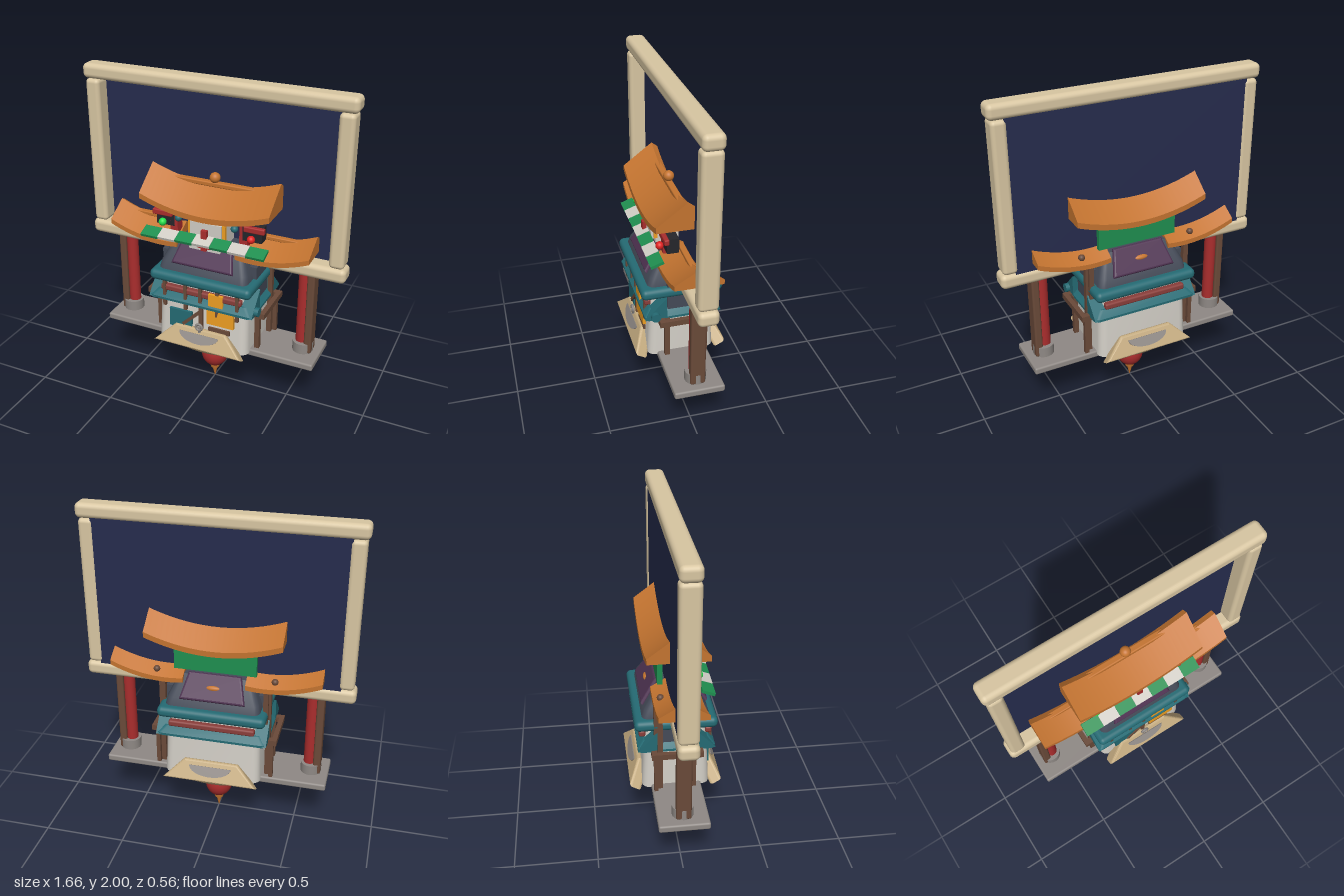
import * as THREE from 'three';
import { RoundedBoxGeometry } from 'three/addons/geometries/RoundedBoxGeometry.js';
import { toCreasedNormals } from 'three/addons/utils/BufferGeometryUtils.js';

const COLORS = {
  cream: 0xd8c6a2, navy: 0x262c4e, orange: 0xc47430, teal: 0x256b74, red: 0xaa2d2d, maroon: 0x8a3e3a,
  brown: 0x6a4a39, grey: 0x8f8985, purple: 0x4f3352, slate: 0x454b58, green: 0x1f8f50,
  white: 0xd2cec6, amber: 0xf0a024, black: 0x25262b, tan: 0xc4ab80, lime: 0x22e04a, scarlet: 0xe02020,
};
const mats = {};
const mat = (c) => (mats[c] ??= new THREE.MeshStandardMaterial({ color: COLORS[c] }));

// Closed loft through rounded rectangles; each level is [y, halfX, halfZ, cornerRadius]
function loft(levels, steps = 4) {
  const pos = [], idx = [], n = 4 * (steps + 1);
  for (const [y, hx, hz, r] of levels) {
    for (let q = 0; q < 4; q++) for (let s = 0; s <= steps; s++) {
      const a = (q + s / steps) * Math.PI / 2;
      const sx = q === 0 || q === 3 ? 1 : -1, sz = q < 2 ? 1 : -1;
      pos.push(sx * (hx - r) + r * Math.cos(a), y, sz * (hz - r) + r * Math.sin(a));
    }
  }
  for (let l = 0; l < levels.length - 1; l++) for (let i = 0; i < n; i++) {
    const a = l * n + i, b = l * n + (i + 1) % n;
    idx.push(a, a + n, b, b, a + n, b + n);
  }
  const top = (levels.length - 1) * n;
  for (let i = 1; i < n - 1; i++) idx.push(0, i, i + 1, top, top + i + 1, top + i);
  return creased(pos, idx);
}

function creased(pos, idx) {
  const g = new THREE.BufferGeometry();
  g.setAttribute('position', new THREE.Float32BufferAttribute(pos, 3));
  g.setIndex(idx);
  return toCreasedNormals(g, 0.6);
}

// Upswept solid gable roof running along x; lift(x) raises each cross-section
function sweptRoof(x0, x1, hz, eave, ridge, thick, lift, segs = 24) {
  const section = [[hz, eave], [hz, eave + thick], [0, ridge], [-hz, eave + thick], [-hz, eave]];
  const n = section.length, pos = [], idx = [];
  for (let i = 0; i <= segs; i++) {
    const x = x0 + (x1 - x0) * i / segs;
    for (const [z, y] of section) pos.push(x, y + lift(x), z);
  }
  for (let i = 0; i < segs; i++) for (let j = 0; j < n; j++) {
    const a = i * n + j, b = i * n + (j + 1) % n;
    idx.push(a, a + n, b, b, a + n, b + n);
  }
  const e = segs * n;
  for (let j = 1; j < n - 1; j++) idx.push(0, j, j + 1, e, e + j + 1, e + j);
  return creased(pos, idx);
}

function trapezoid(bottom, top, h, depth, bevel) {
  const s = new THREE.Shape([[-bottom, 0], [bottom, 0], [top, h], [-top, h]].map(([x, y]) => new THREE.Vector2(x, y)));
  return new THREE.ExtrudeGeometry(s, { depth, bevelSize: bevel, bevelThickness: bevel, bevelSegments: 3 });
}

export function createModel() {
  const model = new THREE.Group();
  const add = (name, geo, color, x = 0, y = 0, z = 0, parent = model) => {
    const m = new THREE.Mesh(geo, mat(color));
    m.name = name;
    m.position.set(x, y, z);
    parent.add(m);
    return m;
  };
  // Box given by its limits
  const box = (name, color, x0, x1, y0, y1, z0, z1, r = 0) => add(name,
    r ? new RoundedBoxGeometry(x1 - x0, y1 - y0, z1 - z0, 3, r) : new THREE.BoxGeometry(x1 - x0, y1 - y0, z1 - z0),
    color, (x0 + x1) / 2, (y0 + y1) / 2, (z0 + z1) / 2);
  const sideBox = (s, name, color, x0, x1, ...rest) =>
    s > 0 ? box(name, color, x0, x1, ...rest) : box(name, color, -x1, -x0, ...rest);
  const rod = (name, color, r, x, y0, y1, z, r2 = r) =>
    add(name, new THREE.CylinderGeometry(r2, r, y1 - y0, 20), color, x, (y0 + y1) / 2, z);
  const ball = (name, color, r, x, y, z) => add(name, new THREE.SphereGeometry(r, 24, 16), color, x, y, z);

  // Screen set toward the back of its frame
  box('screen', 'navy', -0.74, 0.74, 0.97, 1.94, -0.05, -0.036);
  box('frameTop', 'cream', -0.83, 0.83, 1.91, 2, -0.06, 0.06, 0.03);
  box('frameBottom', 'cream', -0.83, 0.83, 0.91, 1, -0.06, 0.06, 0.03);

  // Base plate, bowl and hanging finial
  box('basePlate', 'grey', -0.7, 0.7, 0.335, 0.38, -0.15, 0.15, 0.012);
  const bowl = add('bowl', new THREE.SphereGeometry(1, 40, 12, 0, Math.PI * 2, Math.PI / 2, Math.PI / 2), 'tan', 0, 0.372, 0);
  bowl.scale.set(0.37, 0.126, 0.24);
  bowl.material = mat('tan').clone();
  bowl.material.side = THREE.DoubleSide;
  ball('bulb', 'red', 0.088, 0, 0.19, 0).scale.y = 1.15;
  rod('finialCollar', 'orange', 0.028, 0, 0.07, 0.1, 0, 0.034);
  rod('finialTip', 'orange', 0.002, 0, 0, 0.075, 0, 0.02);

  // House body and its roofs
  add('houseBody', loft([[0.36, 0.3, 0.205, 0.05], [0.66, 0.29, 0.19, 0.05]]), 'white');
  add('upperBody', loft([[0.65, 0.27, 0.19, 0.03], [0.8, 0.26, 0.18, 0.03]]), 'white');
  add('lowerEaves', loft([[0.645, 0.34, 0.23, 0.03], [0.66, 0.34, 0.23, 0.03], [0.7, 0.3, 0.195, 0.03]]), 'teal');
  box('upperEaves', 'teal', -0.33, 0.33, 0.775, 0.843, -0.245, 0.245, 0.03);
  add('mainRoof', loft([[0.84, 0.29, 0.2, 0.04], [0.89, 0.28, 0.185, 0.04], [1.02, 0.22, 0.1, 0.03]]), 'slate');

  for (const f of [1, -1]) {
    const face = new THREE.Group();
    face.name = f > 0 ? 'frontFace' : 'backFace';
    face.rotation.y = f > 0 ? 0 : Math.PI;
    model.add(face);
    add('roofPanel', trapezoid(0.185, 0.15, 0.145, 0.004, 0.014), 'purple', 0, 0.9, 0.18, face).rotation.x = -0.58;
    add('railing', new RoundedBoxGeometry(0.53, 0.04, 0.04, 2, 0.012), 'maroon', 0, 0.725, 0.198, face);
    // Sloping porch hood with an arched inset
    add('porchHood', trapezoid(0.272, 0.16, 0.11, 0.045, 0.016), 'tan', 0, 0.352, 0.225, face).rotation.x = -0.5;
    const arch = new THREE.Shape();
    arch.absellipse(0, 0, 0.13, 0.062, Math.PI, Math.PI * 2);
    add('hoodInset', new THREE.ExtrudeGeometry(arch, { depth: 0.006, bevelEnabled: false, curveSegments: 24 }), 'grey', 0, 0.459, 0.237, face).rotation.x = -0.5;
  }
  ball('roofKnob', 'orange', 0.05, 0, 0.965, -0.145).scale.set(1, 0.35, 0.4);

  // Front details
  for (const x of [-0.24, -0.1, 0, 0.11, 0.24]) box('porchPost', 'brown', x - 0.01, x + 0.01, 0.6, 0.79, 0.2, 0.22);
  box('blueDoor', 'teal', -0.21, -0.06, 0.46, 0.585, 0.195, 0.212);
  box('largeSign', 'amber', 0.045, 0.22, 0.54, 0.645, 0.2, 0.22);
  box('smallSign', 'amber', 0.055, 0.15, 0.655, 0.75, 0.205, 0.222);
  box('bench', 'brown', 0.05, 0.19, 0.48, 0.51, 0.19, 0.21);
  box('centerPost', 'brown', -0.012, 0.012, 0.48, 0.65, 0.195, 0.215);
  const brace = box('brace', 'brown', -0.07, -0.05, 0.47, 0.63, 0.205, 0.22);
  brace.rotation.z = -0.8;
  add('valveWheel', new THREE.TorusGeometry(0.02, 0.008, 10, 20), 'grey', 0, 0.51, 0.235);
  rod('valveStem', 'grey', 0.008, 0, 0.47, 0.51, 0.23);

  // Upper storey: window, back board and striped awning
  box('upperRoom', 'white', -0.11, 0.11, 1, 1.21, -0.03, 0.11);
  box('windowFrame', 'amber', -0.12, 0.12, 1.07, 1.19, 0.1, 0.12);
  box('windowPane', 'white', -0.1, 0.1, 1.06, 1.165, 0.115, 0.135);
  box('backBoard', 'green', -0.25, 0.25, 1.05, 1.2, -0.105, -0.075);
  for (let i = -3; i <= 3; i++) {
    const slat = add('awningSlat', new THREE.BoxGeometry(0.112, 0.018, 0.08), i % 2 ? 'green' : 'white', i * 0.113, 1.068 - 0.003 * Math.abs(i), 0.17);
    slat.rotation.x = 0.35;
  }
  box('awningTag', 'white', -0.1, 0.1, 0.995, 1.04, 0.13, 0.15);
  box('tagPost', 'red', -0.018, 0.018, 1, 1.13, 0.14, 0.165);
  box('tagBar', 'red', -0.04, 0.04, 1.015, 1.035, 0.145, 0.163);

  // Top roof with ridge and ball
  add('topRoof', sweptRoof(-0.41, 0.41, 0.18, 1.19, 1.36, 0.035, (x) => 0.08 * (x / 0.41) ** 2), 'orange');
  box('topRidge', 'orange', -0.41, 0.41, 1.35, 1.38, -0.02, 0.02, 0.008);
  ball('ridgeBall', 'orange', 0.032, 0, 1.405, 0);

  for (const s of [1, -1]) {
    sideBox(s, 'framePost', 'cream', 0.725, 0.815, 1, 1.91, -0.058, 0.058, 0.025);

    // Wing roofs
    const lift = (x) => 0.075 * ((Math.abs(x) - 0.3) / 0.34) ** 2;
    add('wingRoof', sweptRoof(s > 0 ? 0.19 : -0.64, s > 0 ? 0.64 : -0.19, 0.14, 0.967, 1.08, 0.03, lift), 'orange');
    sideBox(s, 'wingRidge', 'orange', 0.25, 0.63, 1.08, 1.105, -0.018, 0.018, 0.006);
    ball('wingKnob', 'brown', 0.02, s * 0.36, 1.03, -0.1);

    // Outer pillars with sleeves and feet
    rod('redPillar', 'red', 0.037, s * 0.58, 0.38, 0.98, 0);
    sideBox(s, 'brownPillar', 'brown', 0.605, 0.652, 0.38, 0.98, -0.045, 0.045, 0.012);
    rod('pillarSleeve', 'grey', 0.064, s * 0.59, 0.375, 0.445, 0);
    ball('pillarFoot', 'brown', 0.09, s * 0.605, 0.338, 0).scale.y = 0.25;

    // Side gallery with posts, rail and gables
    for (const z of [-0.1, 0.1]) {
      sideBox(s, 'galleryPost', 'brown', 0.315, 0.345, 0.38, z < 0 ? 1 : 0.65, z - 0.015, z + 0.015);
      sideBox(s, 'galleryRail', 'brown', 0.28, 0.39, 0.62, 0.655, z * 1.35 - 0.018, z * 1.35 + 0.018);
    }
    sideBox(s, 'galleryBeam', 'brown', 0.36, 0.39, 0.62, 0.655, -0.15, 0.15);
    sideBox(s, 'galleryPost', 'brown', 0.345, 0.37, 0.38, 0.63, -0.14, -0.115);
    sideBox(s, 'roofPost', 'brown', 0.3, 0.33, 0.65, 0.98, -0.135, -0.105);
    sideBox(s, 'cornerWall', 'slate', 0.26, 0.31, 0.66, 0.92, -0.09, 0.09);
    for (const f of [1, -1]) {
      const gable = new THREE.Shape([[0.1, 0.65], [0.23, 0.65], [0.215, 0.67], [0.1, 0.79]].map(([z, y]) => new THREE.Vector2(-z * f, y)));
      const g = add('sideGable', new THREE.ExtrudeGeometry(gable, { depth: 0.08, bevelEnabled: false }), 'teal', s > 0 ? 0.26 : -0.34);
      g.rotation.y = Math.PI / 2;
    }

    // Signal lamps and beams beside the window
    sideBox(s, 'lampBox', 'black', 0.22, 0.34, 1.09, 1.18, 0.03, 0.1);
    sideBox(s, 'lampBeam', 'red', 0.23, 0.36, 1.153, 1.19, 0.09, 0.12, 0.008);
    sideBox(s, 'lampPost', 'red', 0.2, 0.25, 1.04, 1.22, 0.04, 0.1);
    ball('lampKnob', 'teal', 0.022, s * 0.18, 1.165, 0.125);
    ball('lamp', s > 0 ? 'scarlet' : 'lime', 0.024, s * 0.285, 1.12, 0.13);
  }
  // Drum under the left front corner
  const drum = rod('drum', 'teal', 0.028, 0.335, 0.645, 0.705, 0.17);
  drum.rotation.z = Math.PI / 2;
  return model;
}
